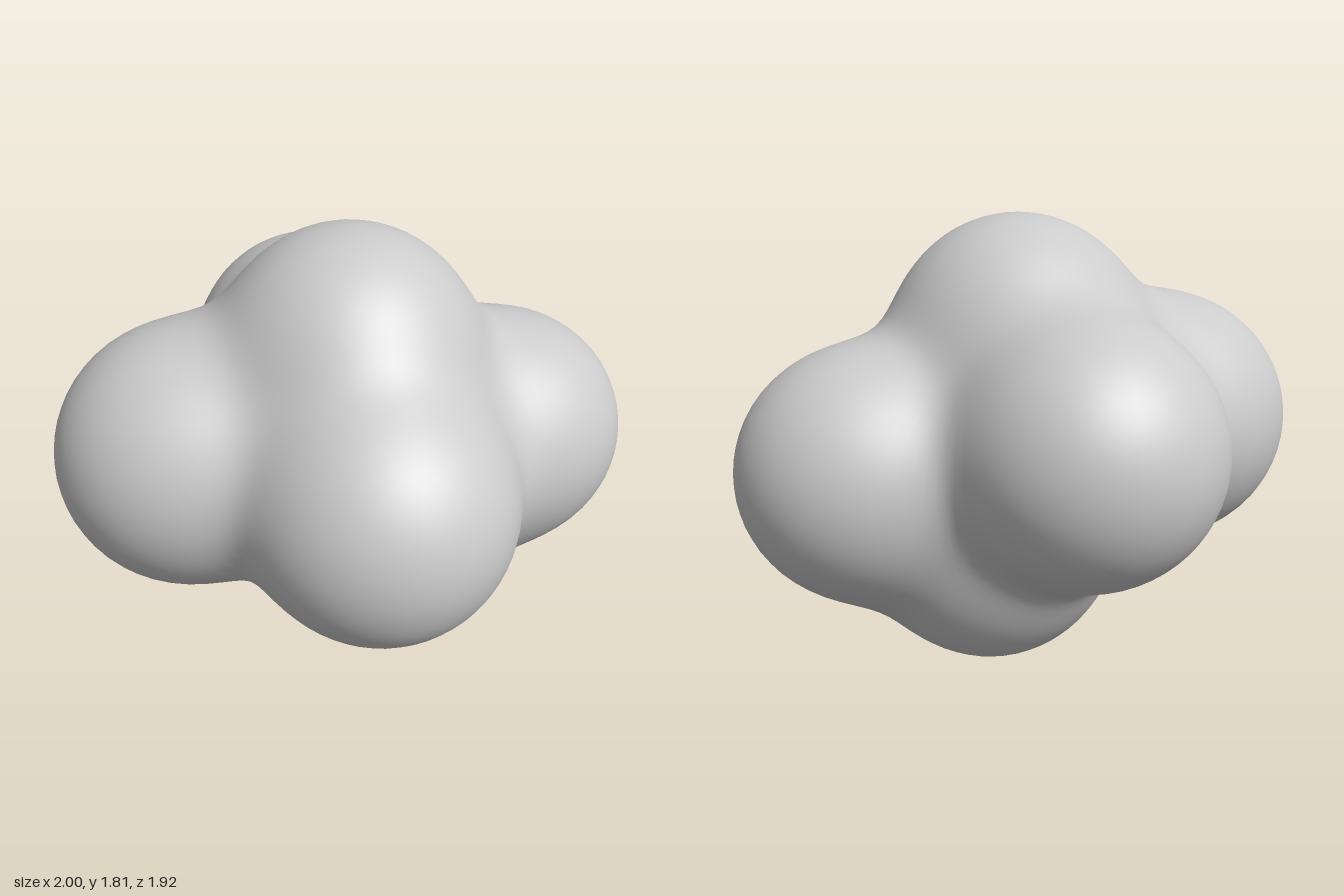
import * as THREE from 'three';
import { mergeVertices } from 'three/addons/utils/BufferGeometryUtils.js';

// Lobes of the blob: centre x, y, z and radius
const lobes = [
  [0.03, 1.305, 0.01, 0.505],   // top
  [0.10, 0.505, -0.135, 0.505], // bottom
  [-0.47, 0.92, 0.43, 0.53],    // front right
  [0.37, 0.91, 0.385, 0.51],    // front left
  [0.50, 0.845, -0.46, 0.50],   // back left
  [-0.405, 1.01, -0.42, 0.50],  // back right
];
const BLEND = 0.095;
const middle = new THREE.Vector3(0.02, 0.91, -0.03);

// Smoothly blended distance to all the lobes
function distance(p) {
  let sum = 0;
  for (const [x, y, z, r] of lobes) {
    sum += Math.exp((r - Math.hypot(p.x - x, p.y - y, p.z - z)) / BLEND);
  }
  return -BLEND * Math.log(sum);
}

// Walk inwards along a ray to the skin, then refine by bisection
function skinPoint(dir) {
  const at = (t) => middle.clone().addScaledVector(dir, t);
  let t = 1.5;
  while (t > 0.05 && distance(at(t)) > 0) t -= 0.02;
  let lo = t, hi = t + 0.02;
  for (let i = 0; i < 12; i++) {
    const m = (lo + hi) / 2;
    if (distance(at(m)) > 0) hi = m; else lo = m;
  }
  return at(lo);
}

export function createModel() {
  const group = new THREE.Group();
  group.name = 'lobedBlob';

  // One closed skin, an icosphere pushed out onto the blended lobes
  let geo = new THREE.IcosahedronGeometry(1, 20);
  geo.deleteAttribute('uv');
  geo.deleteAttribute('normal');
  geo = mergeVertices(geo, 1e-4);
  const pos = geo.attributes.position;
  const v = new THREE.Vector3();
  for (let i = 0; i < pos.count; i++) {
    const p = skinPoint(v.fromBufferAttribute(pos, i).normalize());
    pos.setXYZ(i, p.x, Math.max(p.y, 0), p.z);
  }
  geo.computeVertexNormals();

  const blob = new THREE.Mesh(geo, new THREE.MeshStandardMaterial({ color: 0xcccccc }));
  blob.name = 'blobSkin';
  group.add(blob);
  return group;
}
